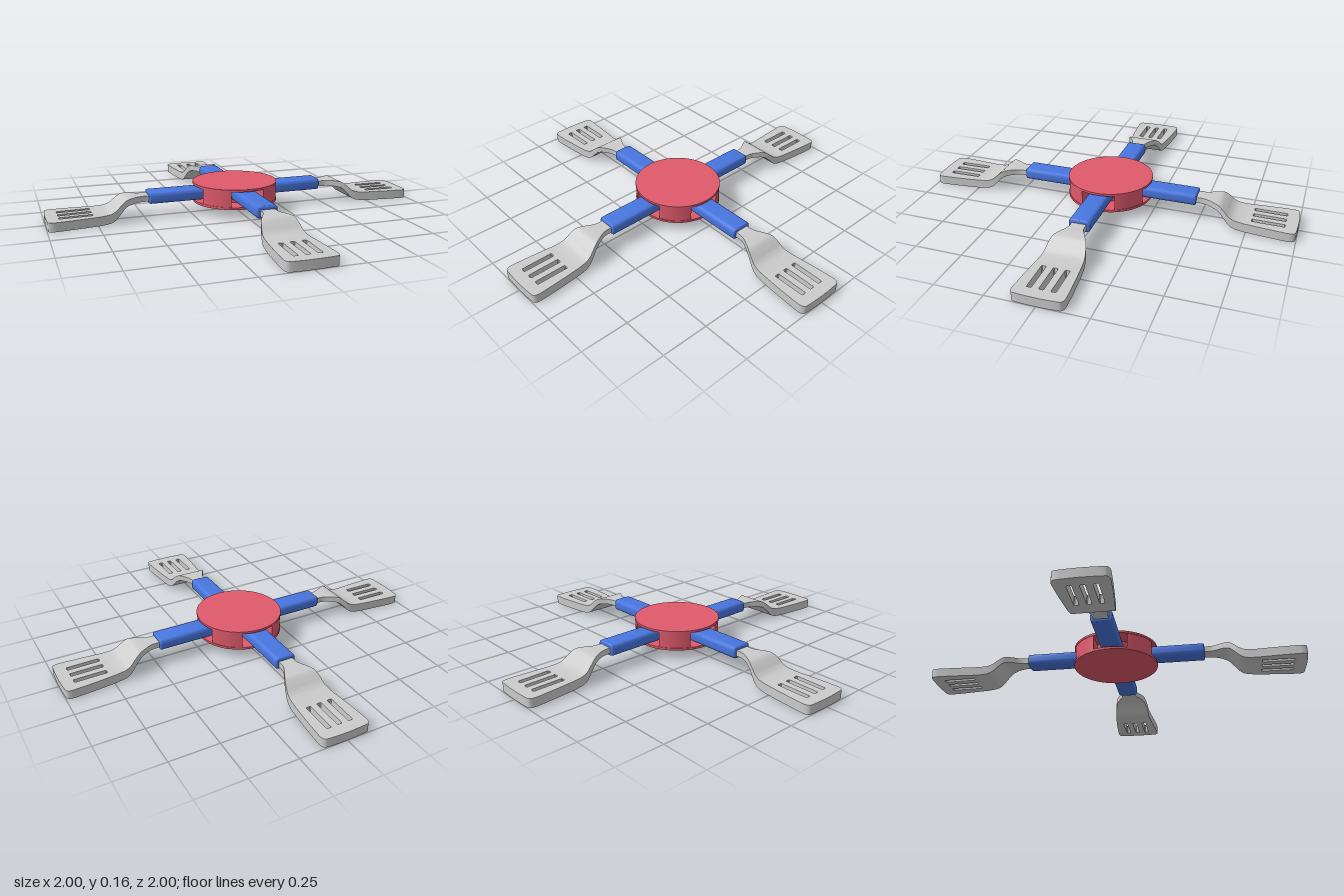
import * as THREE from 'three';
import { toCreasedNormals } from 'three/addons/utils/BufferGeometryUtils.js';

const red = new THREE.MeshStandardMaterial({ color: 0xe05a6b });
const blue = new THREE.MeshStandardMaterial({ color: 0x4876e0 });
const grey = new THREE.MeshStandardMaterial({ color: 0xcccccc });

function mesh(name, geometry, material) {
  const m = new THREE.Mesh(geometry, material);
  m.name = name;
  return m;
}

// Smooth curve through [radius, value] pairs
function curve(points) {
  return new THREE.SplineCurve(points.map(p => new THREE.Vector2(...p)));
}

const JOIN = 0.74;
// Stations along the neck: radius, top, bottom, half width
const stations = [
  [0.46, 0.118, 0.088, 0.038], [0.52, 0.118, 0.088, 0.04], [0.57, 0.118, 0.087, 0.064],
  [0.605, 0.112, 0.078, 0.083], [0.635, 0.09, 0.05, 0.094], [0.66, 0.068, 0.024, 0.1],
  [0.69, 0.055, 0.009, 0.104], [JOIN, 0.05, 0.003, 0.109],
];

// Bent neck, lofted from rectangular sections
function neckGeometry() {
  const curves = [1, 2, 3].map(k => curve(stations.map(s => [s[0], s[k]])));
  const N = 42, pos = [], index = [];
  for (let i = 0; i <= N; i++) {
    const [top, bottom, half] = curves.map(c => c.getPoint(i / N));
    pos.push(top.x, top.y, half.y, top.x, top.y, -half.y);
    pos.push(top.x, bottom.y, -half.y, top.x, bottom.y, half.y);
    if (i === N) break;
    for (let k = 0; k < 4; k++) {
      const a = i * 4 + k, b = i * 4 + (k + 1) % 4;
      index.push(a, a + 4, b, b, a + 4, b + 4);
    }
  }
  const g = new THREE.BufferGeometry();
  g.setAttribute('position', new THREE.Float32BufferAttribute(pos, 3));
  g.setIndex(index);
  g.computeVertexNormals();
  return toCreasedNormals(g, 0.7);
}

// Slotted flat end, tapering slightly toward the tip
function bladeGeometry() {
  const s = new THREE.Shape();
  s.moveTo(JOIN, -0.109);
  s.quadraticCurveTo(0.86, -0.122, 0.96, -0.127);
  s.quadraticCurveTo(0.99, -0.127, 0.995, -0.11);
  s.quadraticCurveTo(1.005, 0, 0.995, 0.11);
  s.quadraticCurveTo(0.99, 0.127, 0.96, 0.127);
  s.quadraticCurveTo(0.86, 0.122, JOIN, 0.109);
  s.closePath();
  for (const z of [-0.058, 0, 0.058]) {
    const a = 0.77, b = 0.938, w = 0.012, r = 0.004;
    const h = new THREE.Path();
    h.moveTo(a + r, z - w);
    h.lineTo(a, z - w + r);
    h.lineTo(a, z + w - r);
    h.lineTo(a + r, z + w);
    h.lineTo(b - r, z + w);
    h.lineTo(b, z + w - r);
    h.lineTo(b, z - w + r);
    h.lineTo(b - r, z - w);
    h.closePath();
    s.holes.push(h);
  }
  const g = new THREE.ExtrudeGeometry(s, { depth: 1, bevelEnabled: false, curveSegments: 8 });
  g.rotateX(-Math.PI / 2);
  const p = g.attributes.position;
  for (let i = 0; i < p.count; i++) {
    const t = (p.getX(i) - JOIN) / (1 - JOIN);
    const low = 0.003 * (1 - t), high = 0.05 - 0.003 * t;
    p.setY(i, p.getY(i) > 0.5 ? high : low);
  }
  g.computeVertexNormals();
  return toCreasedNormals(g, 0.6);
}

// Grip with a rounded section, running along x
function handleGeometry() {
  const w = 0.047, h = 0.023, r = 0.013, bevel = 0.008;
  const s = new THREE.Shape();
  s.moveTo(-w + r, -h);
  s.lineTo(w - r, -h);
  s.quadraticCurveTo(w, -h, w, -h + r);
  s.lineTo(w, h - r);
  s.quadraticCurveTo(w, h, w - r, h);
  s.lineTo(-w + r, h);
  s.quadraticCurveTo(-w, h, -w, h - r);
  s.lineTo(-w, -h + r);
  s.quadraticCurveTo(-w, -h, -w + r, -h);
  const g = new THREE.ExtrudeGeometry(s, {
    depth: 0.356, bevelSize: bevel, bevelThickness: bevel, bevelSegments: 3, curveSegments: 5,
  });
  g.rotateY(Math.PI / 2);
  g.translate(0.114, 0.105, 0);
  return toCreasedNormals(g, 0.6);
}

// Hub wall between two neighbouring arm openings
function wallGeometry() {
  const R = 0.222, c = 0.088, a = Math.asin(c / R);
  const s = new THREE.Shape();
  s.moveTo(c, c);
  s.lineTo(R * Math.cos(a), c);
  s.absarc(0, 0, R, a, Math.PI / 2 - a, false);
  s.closePath();
  const g = new THREE.ExtrudeGeometry(s, { depth: 0.084, bevelEnabled: false, curveSegments: 20 });
  g.rotateX(-Math.PI / 2);
  g.translate(0, 0.062, 0);
  return toCreasedNormals(g, 0.5);
}

export function createModel() {
  const model = new THREE.Group();
  model.name = 'spatulaSpinner';

  // Hub: two discs, a core and four walls
  const hub = new THREE.Group();
  hub.name = 'hub';
  const disc = new THREE.CylinderGeometry(0.225, 0.225, 0.012, 72);
  const topDisc = mesh('topDisc', disc, red);
  topDisc.position.y = 0.149;
  const bottomDisc = mesh('bottomDisc', disc, red);
  bottomDisc.position.y = 0.056;
  const core = mesh('hubCore', new THREE.CylinderGeometry(0.125, 0.125, 0.09, 48), red);
  core.position.y = 0.103;
  hub.add(topDisc, bottomDisc, core);
  model.add(hub);

  // Four identical spatulas, each with its hub wall alongside
  const wall = wallGeometry(), handle = handleGeometry();
  const neck = neckGeometry(), blade = bladeGeometry();
  for (let i = 0; i < 4; i++) {
    const angle = i * Math.PI / 2;
    const hubWall = mesh('hubWall', wall, red);
    hubWall.rotation.y = angle;
    hub.add(hubWall);
    const arm = new THREE.Group();
    arm.name = 'spatula';
    arm.add(mesh('handle', handle, blue), mesh('neck', neck, grey), mesh('slottedBlade', blade, grey));
    arm.rotation.y = angle;
    model.add(arm);
  }
  return model;
}
